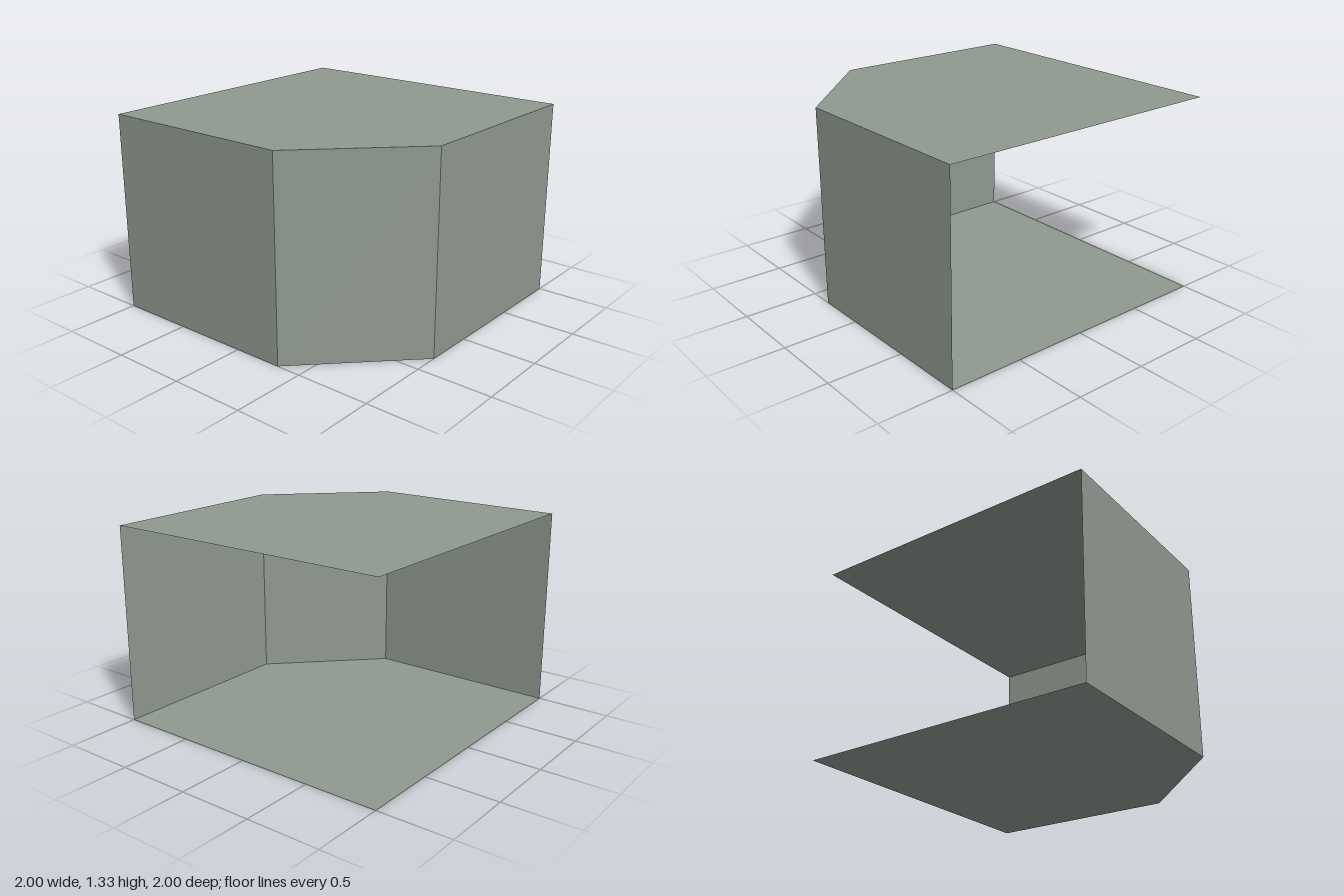
import * as THREE from 'three';

export function createModel() {
  const model = new THREE.Group();
  const height = 4 / 3;
  const cut = 1 / 3;
  const greyGreen = new THREE.MeshStandardMaterial({ color: 0x8f9990, side: THREE.DoubleSide });
  greyGreen.name = 'greyGreen';

  const add = (name, geometry) => {
    const mesh = new THREE.Mesh(geometry, greyGreen);
    mesh.name = name;
    model.add(mesh);
    return mesh;
  };

  // Floor and roof: a square with one corner cut off (shape y is -z)
  const outline = new THREE.Shape([
    [-1, -1], [cut, -1], [1, -cut], [1, 1], [-1, 1],
  ].map(([x, y]) => new THREE.Vector2(x, y)));
  for (const [name, y] of [['floor', 0], ['roof', height]]) {
    add(name, new THREE.ShapeGeometry(outline).rotateX(-Math.PI / 2)).position.y = y;
  }

  // Thin walls along three edges; the back and the -x side stay open
  const wall = (name, x0, z0, x1, z1) => {
    const mesh = add(name, new THREE.PlaneGeometry(Math.hypot(x1 - x0, z1 - z0), height));
    mesh.position.set((x0 + x1) / 2, height / 2, (z0 + z1) / 2);
    mesh.rotation.y = Math.atan2(z0 - z1, x1 - x0);
  };
  wall('frontWall', -1, 1, cut, 1);
  wall('cornerWall', cut, 1, 1, cut);
  wall('sideWall', 1, cut, 1, -1);

  return model;
}
